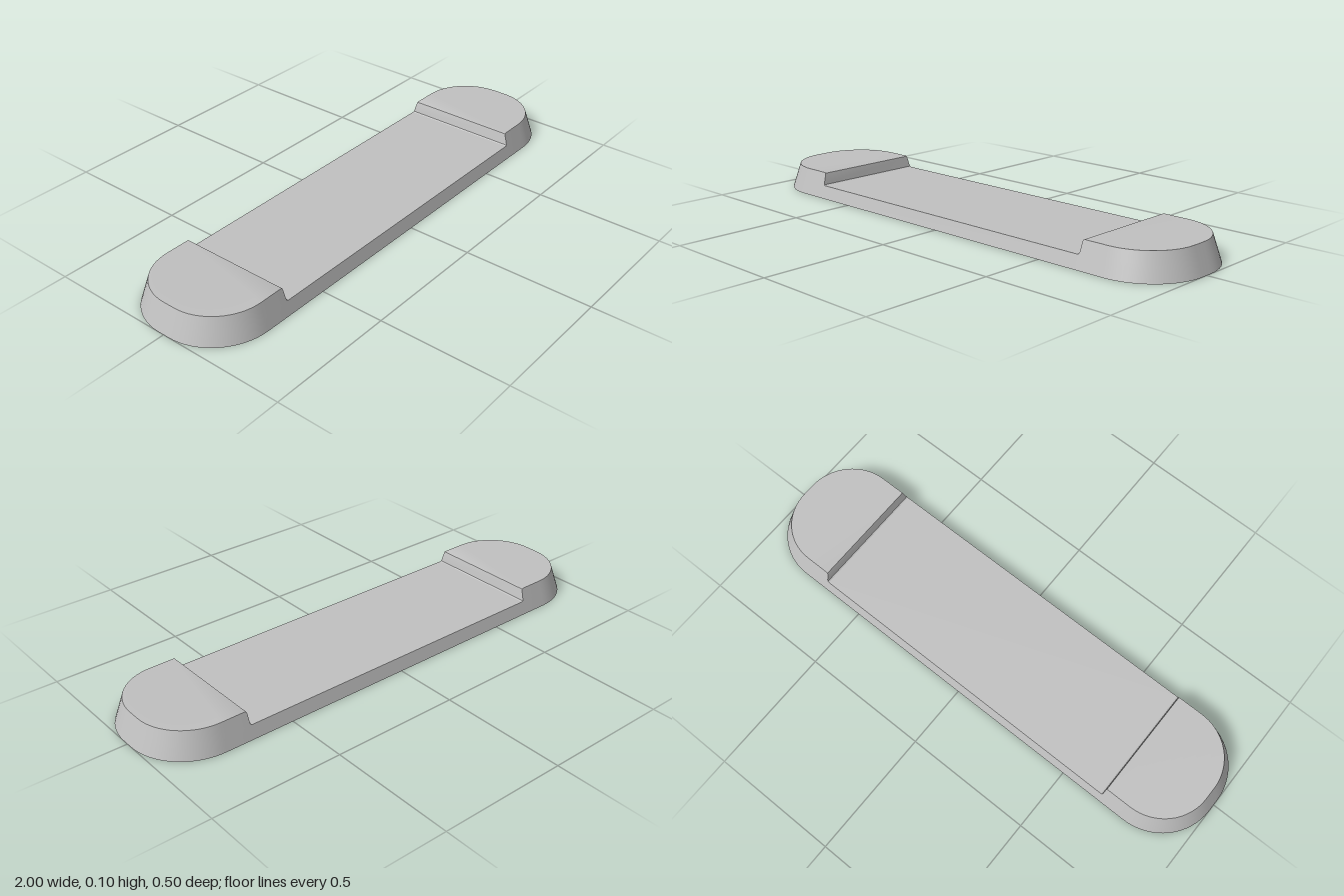
import * as THREE from 'three';
import { toCreasedNormals } from 'three/addons/utils/BufferGeometryUtils.js';

const STEP = 0.658; // where the raised ends meet the low middle

// Skin a stack of convex rings (counterclockwise from above) and cap both ends
function loft(rings) {
  const n = rings[0].length, index = [];
  for (let r = 0; r < rings.length - 1; r++) {
    for (let i = 0; i < n; i++) {
      const a = r * n + i, b = r * n + (i + 1) % n;
      index.push(a, b, b + n, a, b + n, a + n);
    }
  }
  const top = (rings.length - 1) * n;
  for (let i = 1; i < n - 1; i++) {
    index.push(0, i + 1, i, top, top + i, top + i + 1);
  }
  const geometry = new THREE.BufferGeometry();
  geometry.setAttribute('position', new THREE.Float32BufferAttribute(rings.flat(2), 3));
  geometry.setIndex(index);
  return toCreasedNormals(geometry, 0.6);
}

// Rounded end outline at height y, cut off flat at x = inner
function endRing(inner, y) {
  const inset = 0.3 * y, radius = 0.225 - inset, ring = [[inner, y, 0.25 - inset]];
  for (const side of [1, -1]) {
    for (let i = 0; i <= 16; i++) {
      const t = (side > 0 ? 16 - i : i) / 16 * Math.PI / 2;
      ring.push([0.775 - 0.05 * y + radius * Math.cos(t), y, side * (0.025 + radius * Math.sin(t))]);
    }
  }
  ring.push([inner, y, -0.25 + inset]);
  return ring;
}

// Rectangular middle outline at height y
function middleRing(y) {
  const z = 0.25 - 0.3 * y;
  return [[-STEP, y, z], [STEP, y, z], [STEP, y, -z], [-STEP, y, -z]];
}

export function createModel() {
  const group = new THREE.Group();
  const grey = new THREE.MeshStandardMaterial({ color: 0xc0c0c0 });
  grey.name = 'grey';

  // Low middle slab with sloping sides
  const middle = new THREE.Mesh(loft([middleRing(0), middleRing(0.05)]), grey);
  middle.name = 'middleSlab';
  group.add(middle);

  // Raised ends, with a softened step down to the slab
  const profile = [[STEP, 0], [STEP, 0.05], [0.663, 0.053], [0.665, 0.059], [0.667, 0.093], [0.669, 0.098], [0.673, 0.1]];
  const endGeometry = loft(profile.map(([x, y]) => endRing(x, y)));
  for (const [name, angle] of [['leftEnd', 0], ['rightEnd', Math.PI]]) {
    const end = new THREE.Mesh(endGeometry, grey);
    end.name = name;
    end.rotation.y = angle;
    group.add(end);
  }
  return group;
}
